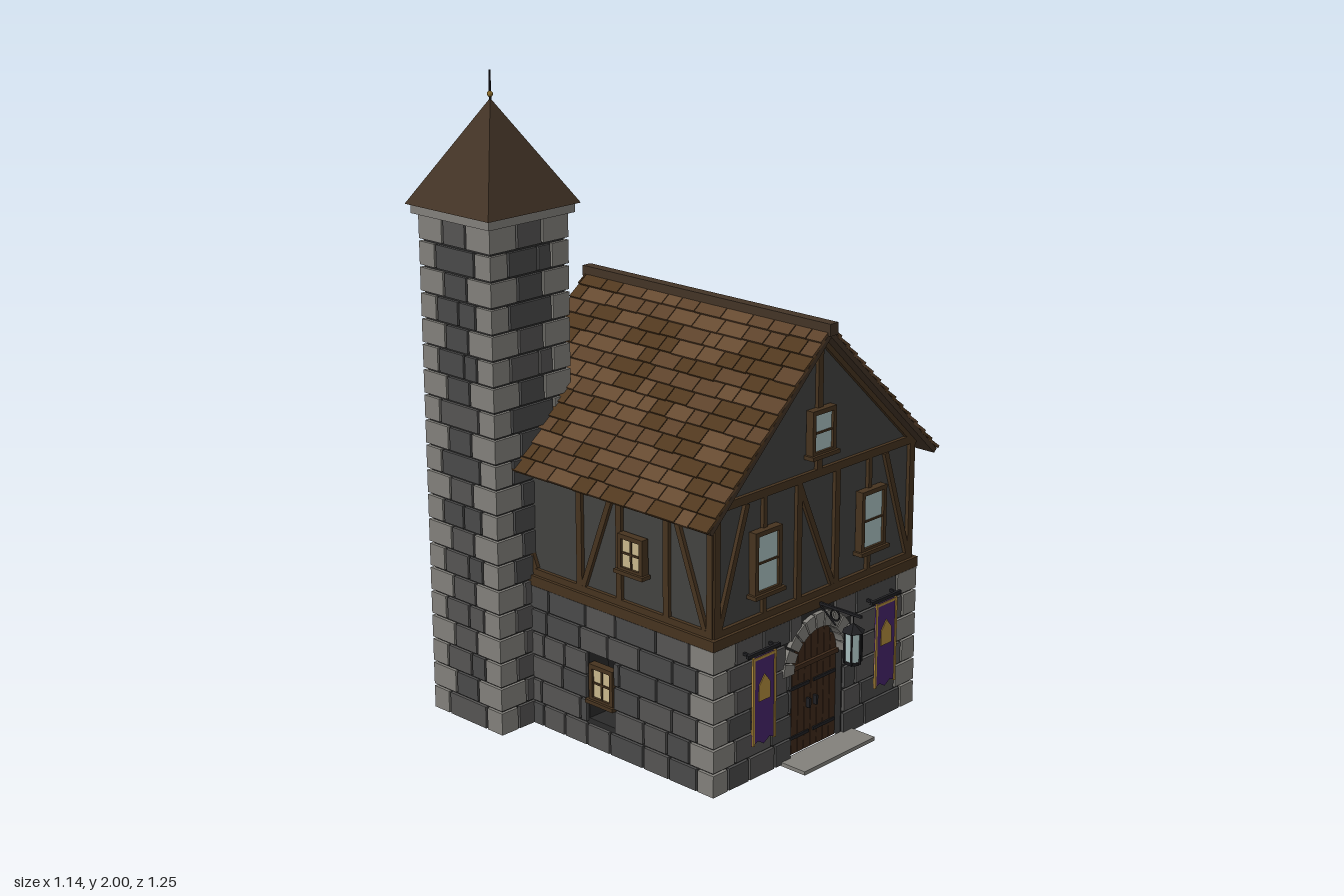
import * as THREE from 'three';
import { mergeGeometries } from 'three/addons/utils/BufferGeometryUtils.js';

const C = {
  mortar: 0x2b2b2b, stone: 0x555453, stoneB: 0x4a4a4a, quoin: 0x82807b, plaster: 0x424240,
  timber: 0x46331f, roofA: 0x5c422b, roofB: 0x50381f, roofC: 0x664a31, roofDark: 0x433426,
  door: 0x3f2a1a, iron: 0x1f1f22, glass: 0xa9c0c0, warm: 0xc9b88c, purple: 0x45246b, gold: 0xb08a3c,
};
let seed = 7;
const rnd = () => (seed = (seed * 16807) % 2147483647) / 2147483647;

const box = (w, h, d, x = 0, y = 0, z = 0, rz = 0) =>
  new THREE.BoxGeometry(w, h, d).rotateZ(rz).translate(x, y, z);

// merge geometries into one named, single-colour mesh
function part(name, color, geoms, opts = {}) {
  const g = mergeGeometries([].concat(geoms).map(a => (a.index ? a.toNonIndexed() : a)));
  const m = new THREE.Mesh(g, new THREE.MeshStandardMaterial({ color, flatShading: true, ...opts }));
  m.name = name;
  return m;
}
function group(name, ...children) {
  const g = new THREE.Group();
  g.name = name;
  if (children.length) g.add(...children);
  return g;
}
const at = (o, x, y, z, ry = 0) => { o.position.set(x, y, z); o.rotation.y = ry; return o; };

// beam lying on a wall face between two points
const beam = (x0, y0, x1, y1, w, d = 0.014) =>
  box(Math.hypot(x1 - x0, y1 - y0), w, d, (x0 + x1) / 2, (y0 + y1) / 2, 0, Math.atan2(y1 - y0, x1 - x0));

// courses of raised blocks with alternating corner stones; gap(y) is the half width left open
function masonry(w, h, rows, [qLong, qShort], gap = () => 0) {
  const out = { stone: [], stoneB: [], quoin: [] }, rh = h / rows, j = 0.008, p = 0.01;
  for (let r = 0; r < rows; r++) {
    const y = (r + 0.5) * rh, g = gap(y);
    const put = (a, b, kind) => {
      if (b - a > 0.012) out[kind].push(box(b - a - j, rh - j, p + 0.01, (a + b) / 2, y, p / 2 - 0.005));
    };
    const q = r % 2 ? qLong : qShort, e = w / 2 + p + j / 2;
    put(-e, -w / 2 + q, 'quoin');
    put(w / 2 - q, e, 'quoin');
    let u = -w / 2 + q;
    const end = w / 2 - q;
    while (u < end - 0.01) {
      let v = u + 0.09 + rnd() * 0.08;
      if (end - v < 0.05) v = end;
      const kind = rnd() < 0.5 ? 'stone' : 'stoneB';
      if (g && u < g && v > -g) { put(u, Math.min(v, -g), kind); put(Math.max(u, g), v, kind); }
      else put(u, v, kind);
      u = v;
    }
  }
  return group('masonry', ...Object.keys(out).filter(k => out[k].length)
    .map(k => part(k === 'quoin' ? 'cornerStones' : 'stoneBlocks', C[k], out[k])));
}

// framed window, centred on its own origin
function makeWindow(w, h, cols, rows, color) {
  const f = 0.014, d = 0.026, bars = [];
  for (const s of [-1, 1]) {
    bars.push(box(f, h, d, s * (w - f) / 2), box(w, f, d, 0, s * (h - f) / 2));
  }
  for (let i = 1; i < cols; i++) bars.push(box(0.006, h, d * 0.7, w * (i / cols - 0.5)));
  for (let i = 1; i < rows; i++) bars.push(box(w, 0.006, d * 0.7, 0, h * (i / rows - 0.5)));
  bars.push(box(w + 0.016, 0.012, 0.036, 0, -h / 2, 0.004));
  return group('window', part('windowFrame', C.timber, bars), part('windowPane', color, box(w - f, h - f, 0.01)));
}

const FLOOR = 0.46, HALF = 0.45, SPRING = 0.28, DOOR = 0.118;

// one ground-floor wall with a window opening or an arched doorway
function groundWall(hasDoor) {
  const s = new THREE.Shape();
  s.moveTo(-HALF, 0);
  if (hasDoor) s.lineTo(-DOOR, 0).lineTo(-DOOR, SPRING).absarc(0, SPRING, DOOR, Math.PI, 0, true).lineTo(DOOR, 0);
  s.lineTo(HALF, 0).lineTo(HALF, FLOOR).lineTo(-HALF, FLOOR);
  if (!hasDoor) {
    s.holes.push(new THREE.Path().moveTo(-0.055, 0.09).lineTo(-0.055, 0.315).lineTo(0.055, 0.315).lineTo(0.055, 0.09));
  }
  const core = new THREE.ExtrudeGeometry(s, { depth: 0.08, bevelEnabled: false, curveSegments: 10 }).translate(0, 0, -0.08);
  const gap = hasDoor
    ? y => (y < SPRING ? DOOR : Math.sqrt(Math.max(0, 0.16 ** 2 - (y - SPRING) ** 2)))
    : y => (y > 0.09 && y < 0.31 ? 0.055 : 0);
  const wall = group('groundWall', part('wallCore', C.mortar, core), masonry(2 * HALF, FLOOR, 6, [0.085, 0.055], gap));
  if (!hasDoor) wall.add(at(makeWindow(0.1, 0.12, 2, 2, C.warm), 0, 0.212, -0.005));
  return wall;
}

function doorway() {
  const planks = [], bands = [], ring = [];
  for (let i = 0; i < 8; i++) {
    const x = (i - 3.5) * 0.029, top = SPRING + Math.sqrt(DOOR ** 2 - x * x) - 0.005;
    planks.push(box(0.027, top, 0.02, x, top / 2, -0.03));
  }
  planks.push(box(0.23, 0.014, 0.03, 0, SPRING, -0.025));
  for (const y of [0.055, 0.215]) for (const s of [-1, 1]) bands.push(box(0.1, 0.01, 0.006, s * 0.06, y, -0.018));
  for (const s of [-1, 1]) bands.push(box(0.008, 0.03, 0.016, s * 0.016, 0.15, -0.014));
  // wedge stones around the arch
  const n = 11, step = Math.PI / n;
  for (let i = 0; i < n; i++) {
    const a = i * step + 0.02, b = (i + 1) * step - 0.02;
    const s = new THREE.Shape().absarc(0, SPRING, 0.162, a, b, false).absarc(0, SPRING, 0.116, b, a, true);
    ring.push(new THREE.ExtrudeGeometry(s, { depth: 0.035, bevelEnabled: false, curveSegments: 2 }).translate(0, 0, -0.02));
  }
  return group('doorway', part('doorPlanks', C.door, planks), part('doorIron', C.iron, bands),
    part('archStones', C.quoin, ring), part('doorstep', C.quoin, box(0.325, 0.012, 0.1, 0, 0.006, 0.05)));
}

function banner() {
  const s = new THREE.Shape().moveTo(-0.05, 0.13).lineTo(-0.05, 0.405).lineTo(0.05, 0.405).lineTo(0.05, 0.13)
    .lineTo(0.025, 0.14).lineTo(0, 0.125).lineTo(-0.025, 0.14);
  const gem = new THREE.Shape().moveTo(-0.024, 0.265).lineTo(0.024, 0.265).lineTo(0.024, 0.315).lineTo(0, 0.345).lineTo(-0.024, 0.315);
  const flat = (sh, d) => new THREE.ExtrudeGeometry(sh, { depth: d, bevelEnabled: false });
  const trim = [flat(gem, 0.007), box(0.1, 0.008, 0.007, 0, 0.4, 0.003)];
  for (const x of [-0.046, 0.046]) trim.push(box(0.008, 0.275, 0.007, x, 0.268, 0.003));
  const rod = [box(0.14, 0.01, 0.01, 0, 0.415, 0), box(0.008, 0.008, 0.035, -0.055, 0.415, -0.015), box(0.008, 0.008, 0.035, 0.055, 0.415, -0.015)];
  return group('banner', part('bannerCloth', C.purple, flat(s, 0.004)), part('bannerTrim', C.gold, trim), part('bannerRod', C.iron, rod));
}

function lantern() {
  const iron = [box(0.008, 0.008, 0.17, 0, 0.472, 0.075),
    new THREE.TorusGeometry(0.017, 0.003, 5, 12).rotateY(Math.PI / 2).translate(0, 0.45, 0.06),
    new THREE.CylinderGeometry(0.003, 0.003, 0.085, 5).rotateX(-0.9).translate(0, 0.445, 0.03),
    new THREE.CylinderGeometry(0.002, 0.002, 0.03, 5).translate(0, 0.457, 0.13),
    new THREE.ConeGeometry(0.036, 0.026, 6).translate(0, 0.433, 0.13),
    new THREE.CylinderGeometry(0.026, 0.022, 0.012, 6).translate(0, 0.322, 0.13)];
  for (let i = 0; i < 6; i++) {
    const a = i * Math.PI / 3;
    iron.push(box(0.005, 0.1, 0.005, Math.sin(a) * 0.027, 0.372, 0.13 + Math.cos(a) * 0.027));
  }
  return group('lantern', part('lanternIron', C.iron, iron),
    part('lanternGlass', C.glass, new THREE.CylinderGeometry(0.027, 0.024, 0.1, 6).translate(0, 0.372, 0.13)));
}

// timber framing of gable ends and long sides
function gableTimber() {
  const t = [beam(-0.445, 0.875, 0.445, 0.875, 0.025), beam(-0.445, 0.5, 0.445, 0.5, 0.02),
    beam(0, 0.88, 0, 1.27, 0.022), beam(-0.085, 0.86, 0.07, 0.51, 0.018)];
  for (const s of [-1, 1]) {
    t.push(beam(s * 0.435, 0.49, s * 0.435, 0.87, 0.024), beam(s * 0.085, 0.49, s * 0.085, 0.87, 0.022),
      beam(s * 0.425, 0.51, s * 0.31, 0.86, 0.018), beam(s * 0.45, 0.86, 0, 1.283, 0.02));
    t.push(beam(s * 0.235, 0.49, s * 0.235, 0.87, 0.016));
  }
  return part('gableTimber', C.timber, t);
}
function sideTimber(s) {
  const t = [beam(-0.445, 0.86, 0.445, 0.86, 0.025), beam(-0.445, 0.5, 0.445, 0.5, 0.02)];
  for (const u of [-0.435, -0.265, -0.075, 0.09, 0.435]) t.push(beam(s * u, 0.49, s * u, 0.86, 0.022));
  for (const [a, b] of [[-0.415, -0.29], [0.28, 0.425]]) t.push(beam(s * a, 0.51, s * b, 0.85, 0.018));
  t.push(beam(s * -0.055, 0.85, s * 0.075, 0.51, 0.018));
  return part('sideTimber', C.timber, t);
}

// one roof slope: x runs down the slope, z along the ridge
function roofSlope() {
  const L = 0.7, rows = 14, step = L / rows, cols = [[], [], []];
  for (let r = 0; r < rows; r++) {
    for (let z = -0.5; z < 0.488;) {
      const w = Math.min(0.05 + rnd() * 0.06, 0.49 - z);
      const len = step + 0.012 + rnd() * 0.006;
      cols[Math.floor(rnd() * 3)].push(box(len, 0.008, w - 0.003, (r + 0.5) * step, 0.001, z + w / 2, 0.13));
      z += w;
    }
  }
  const g = group('roofSlope', part('roofDeck', C.roofDark, box(L, 0.016, 0.985, L / 2, -0.012, -0.005)),
    ...cols.map((c, i) => part('shingles', [C.roofA, C.roofB, C.roofC][i], c)));
  g.position.y = 1.318;
  g.rotation.z = -0.755;
  return g;
}

function tower() {
  const g = group('tower', part('towerCore', C.mortar, box(0.29, 1.58, 0.29, 0, 0.79, 0)));
  for (let i = 0; i < 4; i++) {
    const a = i * Math.PI / 2;
    g.add(at(masonry(0.29, 1.58, 20, [0.095, 0.06]), Math.sin(a) * 0.145, 0, Math.cos(a) * 0.145, a));
  }
  g.add(part('towerCornice', C.quoin, box(0.34, 0.03, 0.34, 0, 1.595, 0)),
    part('towerRoof', C.roofDark, new THREE.ConeGeometry(0.182 * Math.SQRT2, 0.31, 4).rotateY(Math.PI / 4).translate(0, 1.763, 0)),
    part('finialRod', C.iron, new THREE.CylinderGeometry(0.003, 0.004, 0.1, 6).translate(0, 1.95, 0)),
    part('finialBall', C.gold, new THREE.SphereGeometry(0.009, 8, 6).translate(0, 1.93, 0)));
  return g;
}

export function createModel() {
  const house = group('house');
  // four walls, counter-clockwise from the front
  for (let i = 0; i < 4; i++) {
    const a = i * Math.PI / 2, s = Math.sin(a), c = Math.cos(a);
    house.add(at(groundWall(i === 0), s * HALF, 0, c * HALF, a));
    const frame = at(i % 2 ? sideTimber(i === 1 ? 1 : -1) : gableTimber(), s * 0.445, 0, c * 0.445, a);
    house.add(frame);
    if (i % 2) house.add(at(makeWindow(0.1, 0.115, 2, 2, C.warm), s * 0.458, 0.668, 0.14, a));
  }
  house.add(at(doorway(), 0, 0, HALF), at(lantern(), 0, 0, HALF + 0.01));
  for (const s of [-1, 1]) {
    house.add(at(banner(), s * 0.278, 0, 0.487), at(makeWindow(0.115, 0.195, 1, 2, C.glass), s * 0.237, 0.673, 0.456));
  }
  house.add(at(makeWindow(0.105, 0.14, 1, 2, C.glass), 0, 1.005, 0.456));

  // upper storey and floor beams
  const s = new THREE.Shape().moveTo(-0.44, 0.48).lineTo(0.44, 0.48).lineTo(0.44, 0.868).lineTo(0, 1.285).lineTo(-0.44, 0.868);
  house.add(part('upperStorey', C.plaster, new THREE.ExtrudeGeometry(s, { depth: 0.88, bevelEnabled: false }).translate(0, 0, -0.44)),
    part('floorBeams', C.timber, box(0.925, 0.032, 0.925, 0, 0.474, 0)));

  // roof
  house.add(group('roof', roofSlope(), at(group('mirroredSlope', roofSlope()), 0, 0, -0.01, Math.PI),
    part('ridgeBeam', C.roofDark, box(0.034, 0.036, 1.005, 0, 1.316, -0.005))));

  house.position.x = 0.053;
  return group('timberHouseWithTower', house, at(tower(), -0.385, 0, -0.445));
}
